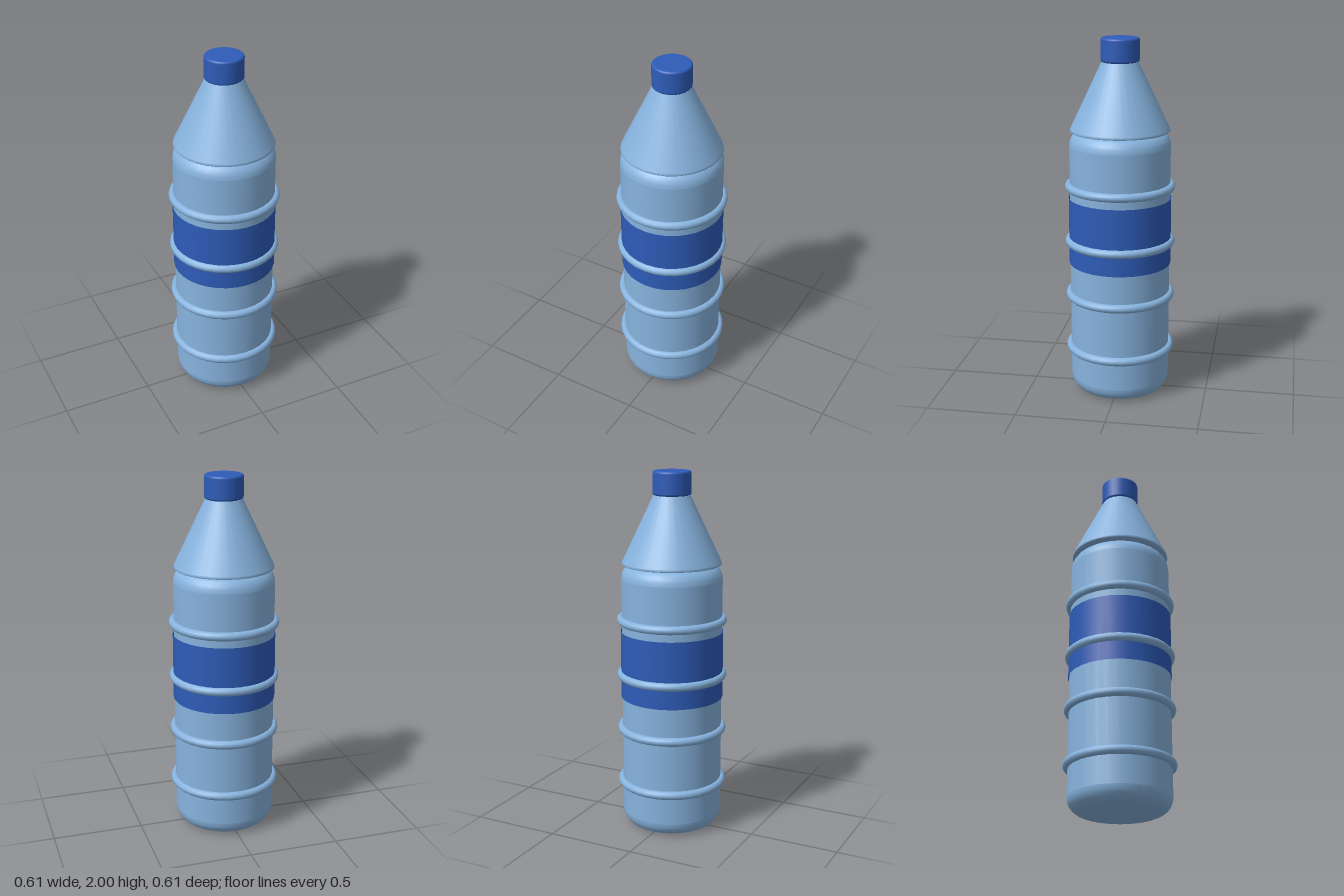
import * as THREE from 'three';

const SEGMENTS = 32;

// Corner points of a rounded profile edge, from angle a0 to a1
function arc(cx, cy, r, a0, a1, steps = 6) {
  return Array.from({ length: steps + 1 }, (_, i) => {
    const a = a0 + (a1 - a0) * i / steps;
    return [cx + r * Math.cos(a), cy + r * Math.sin(a)];
  });
}

// Solid of revolution with rounded rims; doubled points keep flat ends crisp
function roundedDrum(radius, y0, y1, round) {
  const c = radius - round, q = Math.PI / 2;
  const low = arc(c, y0 + round, round, -q, 0);
  const high = arc(c, y1 - round, round, 0, q);
  return lathe([[0, y0], low[0], ...low, low.at(-1), high[0], ...high, high.at(-1), [0, y1]]);
}

function lathe(points) {
  return new THREE.LatheGeometry(points.map(([x, y]) => new THREE.Vector2(x, y)), SEGMENTS);
}

export function createModel() {
  const plastic = new THREE.MeshStandardMaterial({ name: 'lightBluePlastic', color: 0x87b3de });
  const blue = new THREE.MeshStandardMaterial({ name: 'darkBlue', color: 0x2e5cb8, side: THREE.DoubleSide });

  const bottle = new THREE.Group();
  bottle.name = 'bottle';
  const add = (name, geometry, material, y = 0) => {
    const mesh = new THREE.Mesh(geometry, material);
    mesh.name = name;
    mesh.position.y = y;
    bottle.add(mesh);
    return mesh;
  };

  // Rounded body
  add('body', roundedDrum(0.278, 0, 1.5, 0.08), plastic);

  // Conical shoulder with a thin lip and flat underside
  add('shoulder', lathe([
    [0, 1.497], [0.27, 1.497], [0.27, 1.497], [0.274, 1.502], [0.271, 1.511],
    [0.271, 1.511], [0.1, 1.87], [0.1, 1.87], [0, 1.87],
  ]), plastic);

  // Cap
  add('cap', roundedDrum(0.105, 1.87, 2, 0.012), blue);

  // Wrap-around label sleeve
  add('label', new THREE.CylinderGeometry(0.284, 0.284, 0.375, SEGMENTS, 1, true), blue, 0.9385);

  // Grip rings
  for (let i = 0; i < 4; i++) {
    const ring = add('gripRing' + (i + 1), new THREE.TorusGeometry(0.281, 0.024, 12, SEGMENTS), plastic, 0.255 + i * 0.3117);
    ring.rotation.x = Math.PI / 2;
  }

  return bottle;
}
